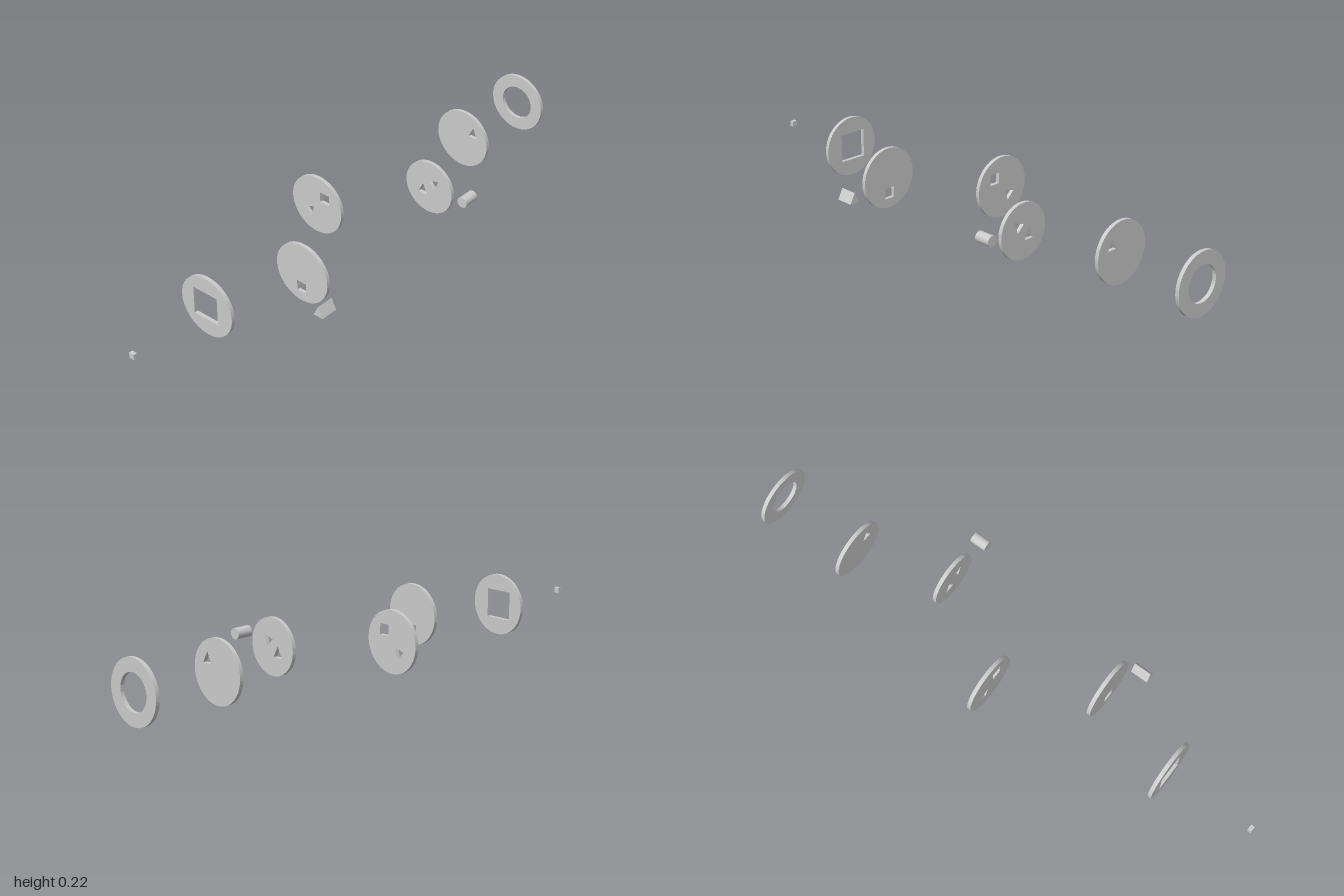
import * as THREE from 'three';
import { toCreasedNormals } from 'three/addons/utils/BufferGeometryUtils.js';

const THICKNESS = 0.014;
const SPACING = 0.331;
const CENTRE_Y = 0.11;
const material = new THREE.MeshStandardMaterial({ color: 0xcccccc });

const toPoints = (pairs, x = 0, y = 0) => pairs.map(([px, py]) => new THREE.Vector2(px + x, py + y));

// Hole outlines, placed relative to the centre of their disc
const UPRIGHT = [[-0.0195, -0.0195], [0.0195, -0.0195], [0, 0.0195]];
const TILTED = [[-0.023, 0.0045], [0.004, -0.0235], [0.019, 0.0185]];
const triangle = (outline, x, y) => new THREE.Path(toPoints(outline, x, y));
const square = (size, x, y) => {
  const h = size / 2;
  return new THREE.Path(toPoints([[-h, -h], [h, -h], [h, h], [-h, h]], x, y));
};
const circle = (r) => new THREE.Path().absarc(0, 0, r, 0, Math.PI * 2, true);

// Extrudes a shape along z, centred on its own depth
function extrude(shape, depth) {
  const geometry = new THREE.ExtrudeGeometry(shape, { depth, bevelEnabled: false, curveSegments: 64 });
  geometry.translate(0, 0, -depth / 2);
  return toCreasedNormals(geometry, 0.5);
}

function disc(radius, holes) {
  const shape = new THREE.Shape().absarc(0, 0, radius, 0, Math.PI * 2, false);
  shape.holes.push(...holes);
  return extrude(shape, THICKNESS);
}

export function createModel() {
  const group = new THREE.Group();
  const add = (name, geometry, x, y, z) => {
    const mesh = new THREE.Mesh(geometry, material);
    mesh.name = name;
    mesh.position.set(x, y, z);
    group.add(mesh);
  };

  // Row of evenly spaced discs, front to back
  const discs = [
    { name: 'squareWindowDisc', x: -0.033, r: 0.11, holes: [square(0.103, -0.005, 0.001)] },
    { name: 'squareHoleDisc', x: 0.077, r: 0.11, holes: [square(0.039, -0.002, -0.057)] },
    {
      name: 'squareAndTriangleDisc', x: -0.15, r: 0.11,
      holes: [square(0.039, 0.035, 0.037), triangle(TILTED, -0.032, -0.032)],
    },
    {
      name: 'twoTriangleDisc', x: 0.077, y: 0.112, r: 0.1,
      holes: [triangle(TILTED, 0.021, 0.021), triangle(UPRIGHT, -0.026, -0.014)],
    },
    { name: 'triangleHoleDisc', x: -0.033, r: 0.11, holes: [triangle(UPRIGHT, 0.047, 0.04)] },
    { name: 'ring', x: -0.033, r: 0.11, holes: [circle(0.064)] },
  ];
  discs.forEach(({ name, x, y = CENTRE_Y, r, holes }, i) => {
    add(name, disc(r, holes), x, y, SPACING * (2 - i));
  });

  // Small block at the front of the row
  add('frontBlock', new THREE.BoxGeometry(0.02, 0.02, THICKNESS), -0.033, CENTRE_Y, SPACING * 3);

  // Loose triangular prism
  add('triangularPrism', extrude(new THREE.Shape(toPoints(UPRIGHT)), 0.066), 0.214, 0.0645, 0.381);

  // Loose cylinder lying along z
  const peg = new THREE.CylinderGeometry(0.0195, 0.0195, 0.06, 48).rotateX(Math.PI / 2);
  add('cylinderPeg', peg, 0.2395, 0.131, -0.331);

  return group;
}
